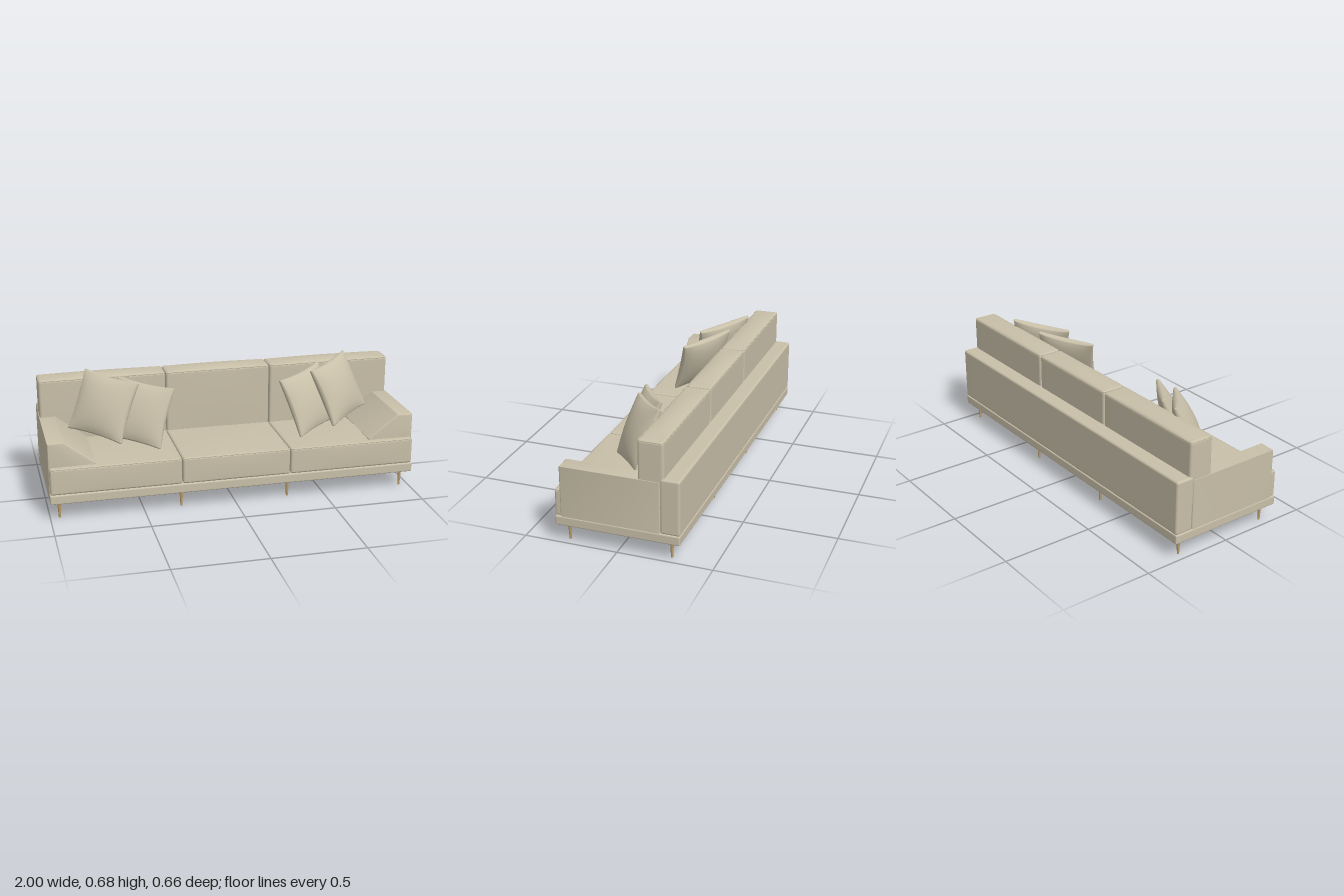
import * as THREE from 'three';
import { mergeVertices, toCreasedNormals } from 'three/addons/utils/BufferGeometryUtils.js';

const fabric = new THREE.MeshStandardMaterial({ color: 0xc8bfa8 });
fabric.name = 'beige fabric';
const wood = new THREE.MeshStandardMaterial({ color: 0xb99b68 });
wood.name = 'light wood';

function add(parent, name, geometry, material = fabric) {
  const mesh = new THREE.Mesh(geometry, material);
  mesh.name = name;
  parent.add(mesh);
  return mesh;
}

// Smooth box with rounded edges; deform(p, u, v, w) may then reshape each vertex,
// where u, v, w run from -1 to 1 across the box.
function softBox(w, h, d, r, deform, n = 20) {
  const k = 4;
  const geo = new THREE.BoxGeometry(w, h, d, n, n, n);
  geo.deleteAttribute('uv');
  geo.deleteAttribute('normal');
  const half = [w / 2, h / 2, d / 2];
  const pos = geo.attributes.position;
  const p = new THREE.Vector3(), inner = new THREE.Vector3();
  for (let i = 0; i < pos.count; i++) {
    p.fromBufferAttribute(pos, i);
    for (let a = 0; a < 3; a++) {
      const H = half[a];
      const step = Math.round((p.getComponent(a) / (2 * H) + 0.5) * n);
      const e = Math.min(step, n - step);
      const c = e < k
        ? Math.sign(step - n / 2) * (H - r + r * Math.tan((1 - e / k) * Math.PI / 4))
        : (H - r) * (2 * (step - k) / (n - 2 * k) - 1);
      p.setComponent(a, c);
      inner.setComponent(a, THREE.MathUtils.clamp(c, r - H, H - r));
    }
    p.sub(inner).setLength(r).add(inner);
    if (deform) deform(p, p.x / half[0], p.y / half[1], p.z / half[2]);
    pos.setXYZ(i, p.x, p.y, p.z);
  }
  const merged = mergeVertices(geo, 1e-5);
  merged.computeVertexNormals();
  return merged;
}

// Box part given by its min and max on each axis
function block(parent, name, [x0, x1], [y0, y1], [z0, z1], r, deform) {
  const mesh = add(parent, name, softBox(x1 - x0, y1 - y0, z1 - z0, r, deform));
  mesh.position.set((x0 + x1) / 2, (y0 + y1) / 2, (z0 + z1) / 2);
  return mesh;
}

const dome = (a, b) => Math.max(0, 1 - a * a) * Math.max(0, 1 - b * b);

// Thin horizontal piping around the top edge of a cushion
function piping(parent, name, [x0, x1], y, [z0, z1]) {
  const c = 0.012, pts = [];
  const corners = [[x1, z1, 0], [x0, z1, 1], [x0, z0, 2], [x1, z0, 3]];
  for (const [x, z, q] of corners) {
    const cx = x + (x === x1 ? -c : c), cz = z + (z === z1 ? -c : c);
    for (let j = 0; j <= 4; j++) {
      const t = (q + j / 4) * Math.PI / 2;
      pts.push(new THREE.Vector3(cx + c * Math.cos(t), y, cz + c * Math.sin(t)));
    }
  }
  const path = new THREE.CurvePath();
  pts.forEach((p, i) => path.add(new THREE.LineCurve3(p, pts[(i + 1) % pts.length])));
  add(parent, name, new THREE.TubeGeometry(path, 200, 0.003, 6, true));
}

// Sloping armrest wedge, side = +1 or -1
function armrest(parent, name, side) {
  const b = 0.008;
  const profile = [[1, 0.147], [1, 0.424], [0.915, 0.427], [0.75, 0.3], [0.75, 0.147]];
  const shape = new THREE.Shape(profile.map(([x, y]) => new THREE.Vector2(x * side, y)));
  const geo = new THREE.ExtrudeGeometry(shape, {
    depth: 0.53 - 2 * b, bevelThickness: b, bevelSize: b, bevelOffset: -b, bevelSegments: 3,
  });
  add(parent, name, toCreasedNormals(geo, 0.6)).position.z = -0.23 + b;
}

// Square throw pillow: pinched corners, puffed middle, leaning on the given axes
function pillow(parent, name, side, size, puff, centre, across, up) {
  const geo = softBox(size, size, 0.016, 0.007, (p, u, v, w) => {
    p.x *= 1 - 0.06 * (1 - v * v);
    p.y *= 1 - 0.06 * (1 - u * u);
    p.z += w * puff * Math.pow(dome(u, v), 0.6);
  }, 28);
  const mesh = add(parent, name, geo);
  const flip = (a) => new THREE.Vector3(a[0] * side, a[1], a[2]);
  const x = flip(across).normalize();
  const z = x.clone().cross(flip(up)).normalize();
  const y = z.clone().cross(x);
  mesh.quaternion.setFromRotationMatrix(new THREE.Matrix4().makeBasis(x, y, z));
  mesh.position.copy(flip(centre));
}

export function createModel() {
  const sofa = new THREE.Group();
  sofa.name = 'sofa';

  // Plinth and low back frame
  block(sofa, 'base', [-1, 1], [0.096, 0.147], [-0.33, 0.33], 0.007);
  block(sofa, 'backFrame', [-1, 1], [0.147, 0.444], [-0.331, -0.229], 0.012);

  // Three seat cushions and three back cushions
  const spans = [['right', -0.996, -0.299], ['middle', -0.295, 0.295], ['left', 0.299, 0.996]];
  for (const [label, x0, x1] of spans) {
    block(sofa, label + 'SeatCushion', [x0, x1], [0.148, 0.292], [-0.13, 0.33], 0.012, (p, u, v, w) => {
      if (v > 0) p.y += 0.008 * v * dome(u, w);
      if (w > 0) p.z += 0.003 * w * dome(u, v);
    });
    piping(sofa, label + 'SeatPiping', [x0 + 0.003, x1 - 0.003], 0.288, [-0.125, 0.327]);
    block(sofa, label + 'BackCushion', [x0, x1], [0.28, 0.632], [-0.249, -0.114], 0.014, (p, u, v, w) => {
      if (v > 0) p.y += 0.011 * v * dome(u, w);
      if (w > 0) p.z += 0.003 * w * dome(u, v);
    });
    piping(sofa, label + 'BackPiping', [x0 + 0.003, x1 - 0.003], 0.627, [-0.246, -0.117]);
  }

  // Armrests and two leaning pillows at each end
  for (const [label, side] of [['left', 1], ['right', -1]]) {
    armrest(sofa, label + 'Armrest', side);
    pillow(sofa, label + 'OuterPillow', side, 0.338, 0.046,
      [0.665, 0.508, 0.009], [0.255, 0.04, -0.21], [-0.11, 0.305, -0.085]);
    pillow(sofa, label + 'InnerPillow', side, 0.335, 0.04,
      [0.478, 0.474, 0.062], [0.28, 0.035, -0.19], [-0.095, 0.305, -0.095]);
  }

  // Tapered legs in two rows of four
  const legGeo = new THREE.CylinderGeometry(0.0105, 0.0055, 0.098, 16);
  for (const x of [-0.95, -0.296, 0.296, 0.95]) {
    for (const z of [-0.273, 0.273]) {
      add(sofa, z > 0 ? 'frontLeg' : 'backLeg', legGeo, wood).position.set(x, 0.049, z);
    }
  }
  return sofa;
}
